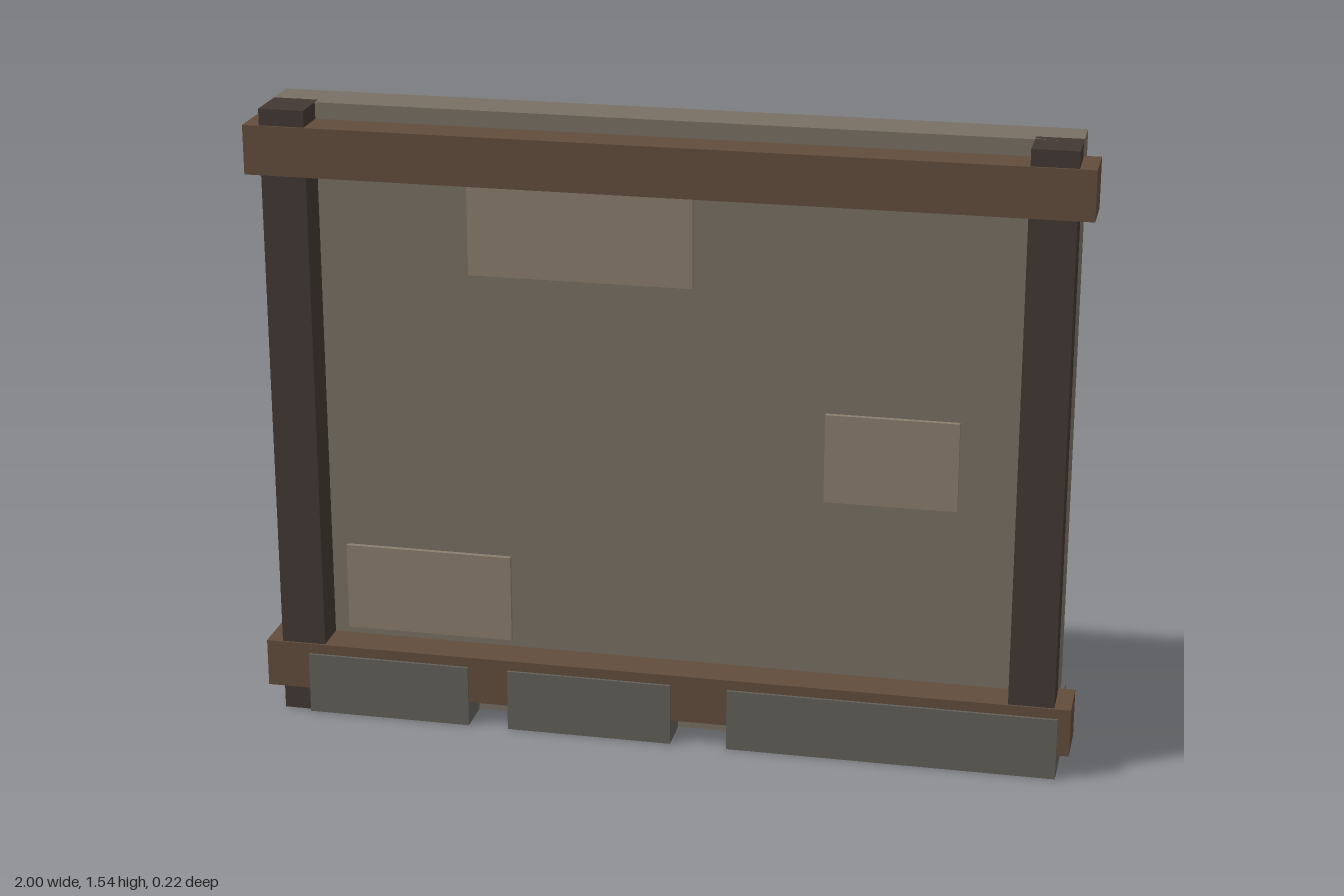
import * as THREE from 'three';

const material = (color) => new THREE.MeshStandardMaterial({ color, flatShading: true });

export function createModel() {
  const model = new THREE.Group();
  const plaster = material(0x787064);
  const patchPlaster = material(0x8b7f6e);
  const darkWood = material(0x423833);
  const wood = material(0x614d3c);
  const stone = material(0x62605a);

  // Box given by its extents along each axis
  const block = (name, mat, [x0, x1], [y0, y1], [z0, z1]) => {
    const mesh = new THREE.Mesh(new THREE.BoxGeometry(x1 - x0, y1 - y0, z1 - z0), mat);
    mesh.position.set((x0 + x1) / 2, (y0 + y1) / 2, (z0 + z1) / 2);
    mesh.name = name;
    model.add(mesh);
  };

  // Plaster wall slab
  block('wall', plaster, [-0.96, 0.96], [0, 1.54], [-0.107, 0.012]);

  // Upright posts at both ends
  block('leftPost', darkWood, [0.85, 0.96], [0, 1.54], [-0.015, 0.1]);
  block('rightPost', darkWood, [-0.96, -0.85], [0, 1.54], [-0.015, 0.1]);

  // Horizontal rails
  block('bottomRail', wood, [-1, 1], [0.06, 0.18], [-0.018, 0.105]);
  block('topRail', wood, [-1, 1], [1.38, 1.5], [-0.018, 0.105]);

  // Foundation stones running through the wall
  [[-0.89, -0.48], [-0.38, 0.03], [0.17, 0.97]].forEach((x, i) =>
    block(`foundationStone${i + 1}`, stone, x, [0, 0.155], [-0.112, 0.112]));

  // Thin raised plaster patches on the front
  [
    [[-0.48, 0.065], [1.14, 1.36]],
    [[0.385, 0.705], [0.63, 0.85]],
    [[-0.81, -0.39], [0.2, 0.42]],
  ].forEach(([x, y], i) => block(`plasterPatch${i + 1}`, patchPlaster, x, y, [0, 0.024]));

  return model;
}
